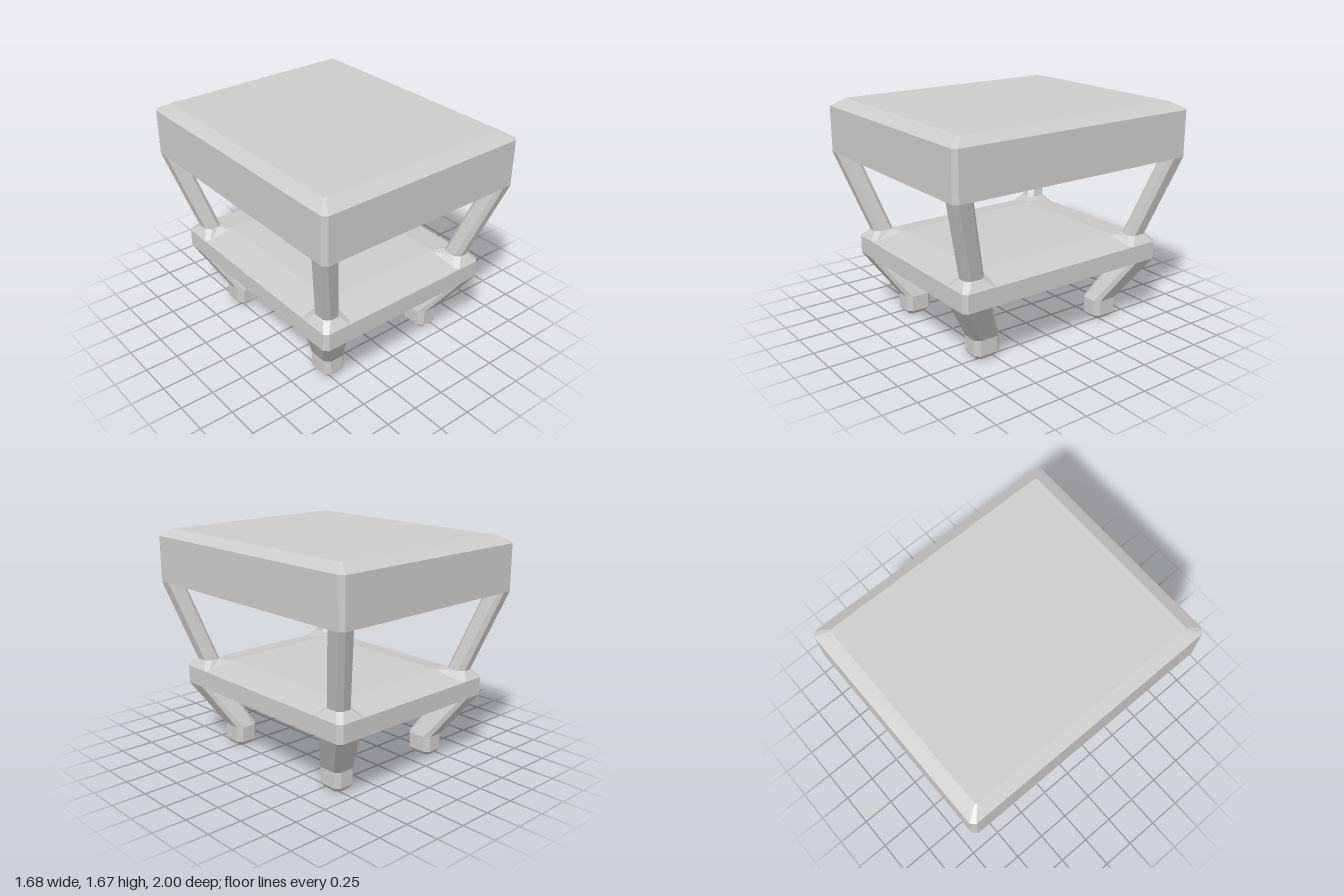
import * as THREE from 'three';

const material = new THREE.MeshStandardMaterial({ color: 0xcccccc, flatShading: true });

// Rectangle with cut corners at height y, spanning x0..x1 and z0..z1, counterclockwise from above
function ring(y, x0, x1, z0, z1, c) {
  return [
    [x1, z1 - c], [x1, z0 + c], [x1 - c, z0], [x0 + c, z0],
    [x0, z0 + c], [x0, z1 - c], [x0 + c, z1], [x1 - c, z1],
  ].map(([x, z]) => [x, y, z]);
}

// Ring for one corner, given distances from the centre and the corner's signs
function cornerRing(sx, sz, y, xIn, xOut, zIn, zOut, c) {
  const xs = [sx * xIn, sx * xOut].sort((a, b) => a - b);
  const zs = [sz * zIn, sz * zOut].sort((a, b) => a - b);
  return ring(y, xs[0], xs[1], zs[0], zs[1], c);
}

// Closed faceted solid through rings listed from bottom to top
function loft(name, rings) {
  const n = rings[0].length;
  const index = [];
  for (let r = 0; r < rings.length - 1; r++) {
    for (let i = 0; i < n; i++) {
      const a = r * n + i, b = r * n + (i + 1) % n;
      index.push(a, b, b + n, a, b + n, a + n);
    }
  }
  const top = (rings.length - 1) * n;
  for (let i = 1; i < n - 1; i++) {
    index.push(0, i + 1, i, top, top + i, top + i + 1);
  }
  const indexed = new THREE.BufferGeometry();
  indexed.setAttribute('position', new THREE.Float32BufferAttribute(rings.flat(2), 3));
  indexed.setIndex(index);
  const geometry = indexed.toNonIndexed();
  geometry.computeVertexNormals();
  const mesh = new THREE.Mesh(geometry, material);
  mesh.name = name;
  return mesh;
}

const slab = (name, rows) =>
  loft(name, rows.map(([y, hx, hz, c]) => ring(y, -hx, hx, -hz, hz, c)));

export function createModel() {
  const group = new THREE.Group();
  group.name = 'sideTable';

  // Thick table top with bevelled upper and lower faces
  group.add(slab('tableTop', [
    [1.215, 0.69, 0.83, 0.02],
    [1.27, 0.84, 1.0, 0.03],
    [1.615, 0.84, 1.0, 0.03],
    [1.67, 0.755, 0.9, 0.01],
  ]));

  // Lower shelf
  group.add(slab('shelf', [
    [0.38, 0.47, 0.58, 0.02],
    [0.48, 0.725, 0.865, 0.03],
    [0.615, 0.725, 0.865, 0.03],
    [0.66, 0.49, 0.6, 0.01],
  ]));

  for (const sx of [-1, 1]) {
    for (const sz of [-1, 1]) {
      const at = (...args) => cornerRing(sx, sz, ...args);
      const side = `${sz > 0 ? 'front' : 'back'}${sx > 0 ? 'Left' : 'Right'}`;

      // Splayed post between shelf and top
      group.add(loft(`${side}Post`, [
        at(0.66, 0.541, 0.671, 0.651, 0.806, 0.035),
        at(1.27, 0.71, 0.84, 0.845, 1.0, 0.03),
      ]));

      // Raised pad under the post, its inner corner lifted to the shelf surface
      const base = at(0.615, 0.49, 0.725, 0.595, 0.865, 0.03);
      for (const p of base) {
        if (Math.abs(p[0]) < 0.6 && Math.abs(p[2]) < 0.7) p[1] = 0.66;
      }
      group.add(loft(`${side}Pad`, [base, at(0.675, 0.545, 0.675, 0.655, 0.81, 0.035)]));

      // Slanted lower leg ending in a straight bevelled foot
      group.add(loft(`${side}Leg`, [
        at(0, 0.402, 0.518, 0.48, 0.625, 0.02),
        at(0.035, 0.37, 0.548, 0.447, 0.655, 0.035),
        at(0.155, 0.37, 0.548, 0.447, 0.655, 0.035),
        at(0.48, 0.52, 0.725, 0.63, 0.865, 0.03),
      ]));
    }
  }
  return group;
}
